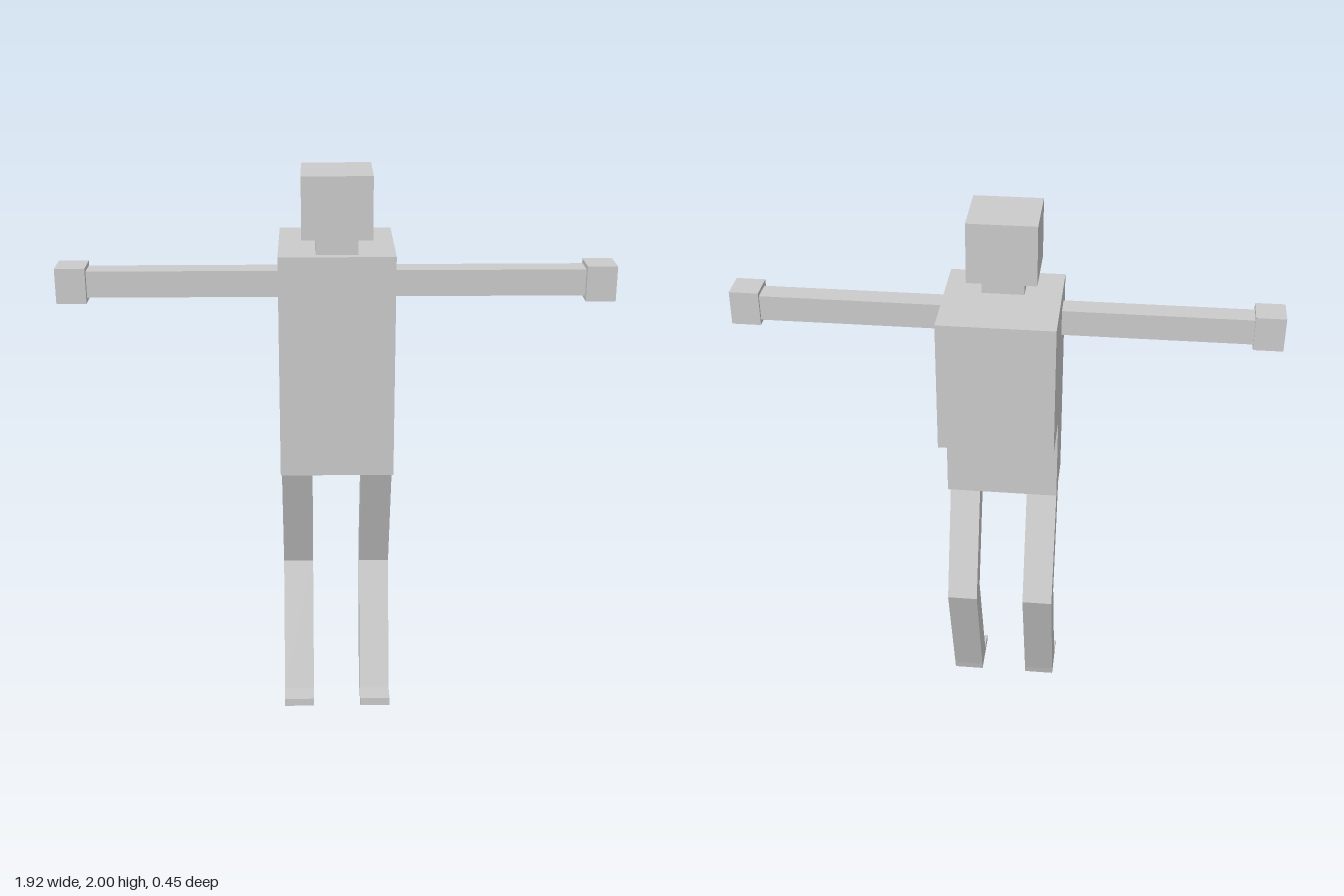
import * as THREE from 'three';

export function createModel() {
  const model = new THREE.Group();
  const material = new THREE.MeshStandardMaterial({ color: 0xcccccc, flatShading: true });

  function add(name, geometry) {
    const mesh = new THREE.Mesh(geometry, material);
    mesh.name = name;
    model.add(mesh);
  }

  // Box given by its limits on each axis
  function box(name, [x0, x1], [y0, y1], [z0, z1]) {
    const geometry = new THREE.BoxGeometry(x1 - x0, y1 - y0, z1 - z0);
    geometry.translate((x0 + x1) / 2, (y0 + y1) / 2, (z0 + z1) / 2);
    add(name, geometry);
  }

  // Side profile of [z, y] points, extruded across x
  function slab(name, [x0, x1], points) {
    const shape = new THREE.Shape(points.map(([z, y]) => new THREE.Vector2(z, y)));
    const geometry = new THREE.ExtrudeGeometry(shape, { depth: x1 - x0, bevelEnabled: false });
    geometry.rotateY(-Math.PI / 2).translate(x1, 0, 0);
    add(name, geometry);
  }

  // Head and neck
  box('head', [-0.12, 0.12], [1.785, 2], [-0.03, 0.2]);
  box('neck', [-0.073, 0.073], [1.72, 1.785], [0.02, 0.16]);

  // Torso with the deep upper back
  slab('torso', [-0.2, 0.2], [
    [0.19, 0.93], [0.19, 1.725], [-0.225, 1.725],
    [-0.225, 1.25], [-0.017, 1.25], [-0.017, 0.93],
  ]);

  for (const [side, s] of [['left', 1], ['right', -1]]) {
    const span = (a, b) => (s > 0 ? [a, b] : [-b, -a]);

    // Outstretched arm and hand
    box(side + 'Arm', span(0.19, 0.86), [1.568, 1.66], [0.04, 0.12]);
    box(side + 'Hand', span(0.855, 0.958), [1.552, 1.675], [0.03, 0.14]);

    // Leg bent back at the knee, on a thin foot
    slab(side + 'Leg', span(0.087, 0.197), [
      [0.14, 0.93], [0.045, 0.93], [-0.105, 0.49],
      [0.047, 0.03], [0.15, 0.03], [-0.013, 0.49],
    ]);
    slab(side + 'Foot', span(0.087, 0.197), [
      [0.225, 0], [0.225, 0.03], [0.047, 0.03], [0.055, 0],
    ]);
  }

  return model;
}
